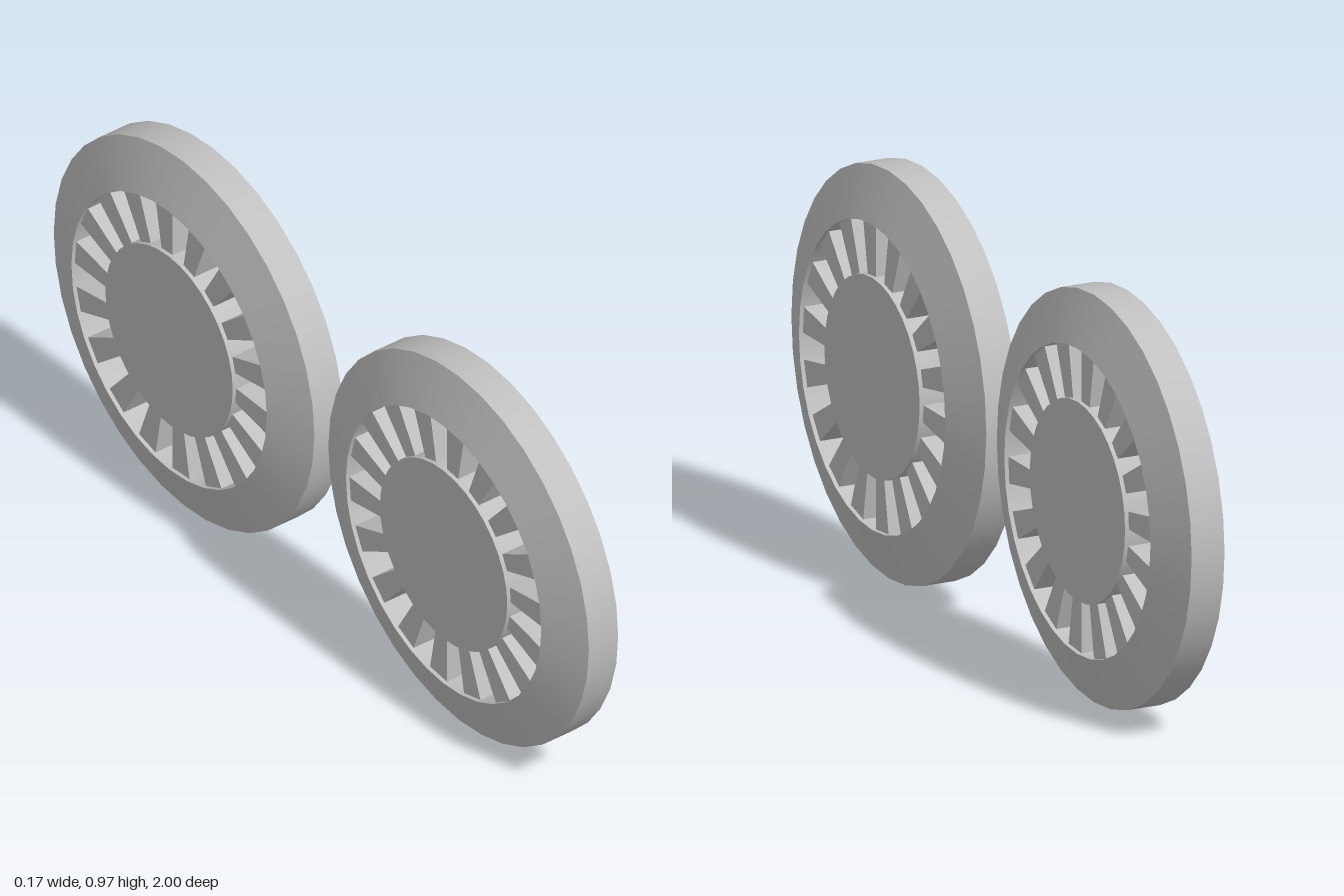
import * as THREE from 'three';

const R = 0.487, OPENING = 0.365, HUB = 0.238;   // radii
const TREAD = 0.042, FACE = 0.085, SPOKE = 0.075; // half widths
const SIDES = 36, SPOKES = 18;

const metal = new THREE.MeshStandardMaterial({ color: 0xc0c0c0 });
metal.name = 'plain grey';

// One smooth ring of the tyre between two (radius, axial) points, axis along z
function band(name, a, b) {
  const geo = new THREE.LatheGeometry([new THREE.Vector2(...a), new THREE.Vector2(...b)], SIDES);
  geo.rotateX(Math.PI / 2);
  const mesh = new THREE.Mesh(geo, metal);
  mesh.name = name;
  return mesh;
}

// Tapered spoke that fills one angular step
function spokeGeometry() {
  const step = Math.PI / SPOKES;
  const at = (r, t) => new THREE.Vector2(r * Math.cos(t), r * Math.sin(t));
  const inner = HUB - 0.006;
  const shape = new THREE.Shape([at(inner, 0), at(OPENING, 0), at(OPENING, step), at(inner, step)]);
  const geo = new THREE.ExtrudeGeometry(shape, { depth: SPOKE * 2, bevelEnabled: false });
  return geo.translate(0, 0, -SPOKE);
}

function makeWheel(name, spokeOffset) {
  const wheel = new THREE.Group();
  wheel.name = name;

  // Tyre with chamfered shoulders
  const tyre = new THREE.Group();
  tyre.name = 'tyre';
  tyre.add(
    band('tread', [R, -TREAD], [R, TREAD]),
    band('shoulder', [R, TREAD], [OPENING, FACE]),
    band('innerWall', [OPENING, FACE], [OPENING, -FACE]),
    band('shoulder', [OPENING, -FACE], [R, -TREAD])
  );
  wheel.add(tyre);

  // Solid hub
  const hubGeo = new THREE.CylinderGeometry(HUB, HUB, FACE * 2, SIDES);
  const hub = new THREE.Mesh(hubGeo.rotateX(Math.PI / 2), metal);
  hub.name = 'hub';
  wheel.add(hub);

  // Ring of spokes with equal gaps
  const geo = spokeGeometry();
  for (let i = 0; i < SPOKES; i++) {
    const spoke = new THREE.Mesh(geo, metal);
    spoke.name = 'spoke';
    spoke.rotation.z = (i * 2 + spokeOffset) * Math.PI / SPOKES;
    wheel.add(spoke);
  }

  wheel.rotation.y = Math.PI / 2; // turn the axle onto x
  return wheel;
}

export function createModel() {
  const model = new THREE.Group();
  model.name = 'wheelPair';
  const front = makeWheel('frontWheel', 1);
  const rear = makeWheel('rearWheel', 0);
  front.position.set(0, R, 1 - R);
  rear.position.set(0, R, R - 1);
  model.add(front, rear);
  return model;
}
